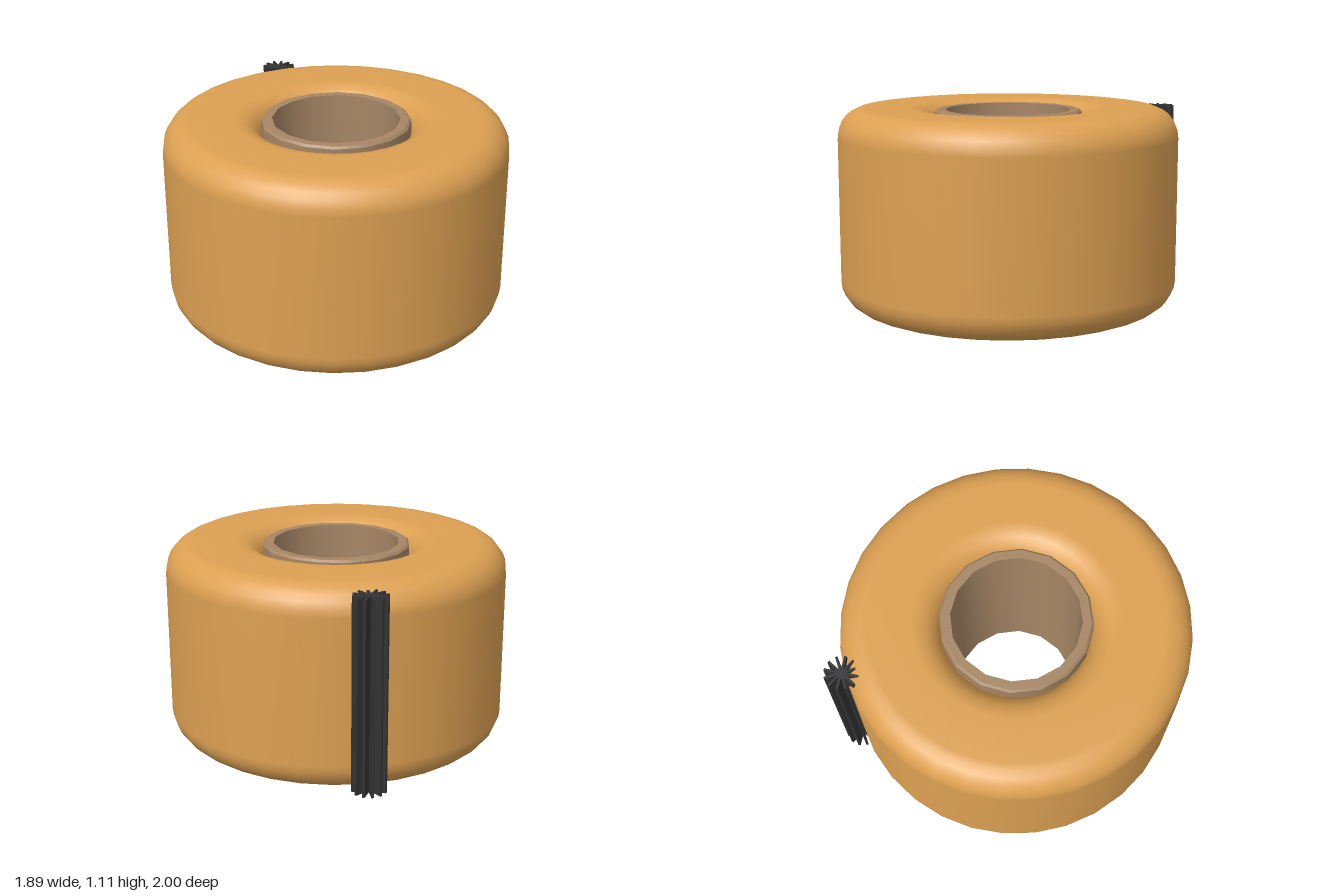
import * as THREE from 'three';
import { toCreasedNormals } from 'three/addons/utils/BufferGeometryUtils.js';

const HEIGHT = 1.11;
const ROLL_Z = 0.05;

function material(name, color) {
  const m = new THREE.MeshStandardMaterial({ color });
  m.name = name;
  return m;
}

// Quarter-circle of profile points around (cx, cy), starting at angle a
function fillet(cx, cy, r, a, steps = 6) {
  return Array.from({ length: steps + 1 }, (_, i) => {
    const t = a + (i / steps) * Math.PI / 2;
    return new THREE.Vector2(cx + r * Math.cos(t), cy + r * Math.sin(t));
  });
}

export function createModel() {
  const model = new THREE.Group();
  model.name = 'wheel';
  const amber = material('amber', 0xdca052);
  const brown = material('dull brown', 0xa68665);
  const black = material('charcoal', 0x333335);

  // Rounded roll with softened inner and outer edges
  const outer = 0.945, inner = 0.4, r = 0.155;
  const rollProfile = [
    new THREE.Vector2(inner, HEIGHT / 2),
    ...fillet(inner + r, r, r, Math.PI),
    ...fillet(outer - r, r, r, -Math.PI / 2),
    ...fillet(outer - r, HEIGHT - r, r, 0),
    ...fillet(inner + r, HEIGHT - r, r, Math.PI / 2),
    new THREE.Vector2(inner, HEIGHT / 2),
  ];
  const roll = new THREE.Mesh(new THREE.LatheGeometry(rollProfile, 32), amber);
  roll.name = 'roll';
  roll.position.z = ROLL_Z;
  model.add(roll);

  // Hollow core with a small chamfer on its outer rims
  const lo = 0.015, hi = HEIGHT - 0.015, c = 0.012;
  const coreProfile = [
    [0.35, lo], [0.41 - c, lo], [0.41, lo + c],
    [0.41, hi - c], [0.41 - c, hi], [0.35, hi], [0.35, lo],
  ].map(([x, y]) => new THREE.Vector2(x, y));
  const core = new THREE.Mesh(
    toCreasedNormals(new THREE.LatheGeometry(coreProfile, 16), 0.6), brown);
  core.name = 'core';
  core.position.z = ROLL_Z;
  model.add(core);

  // Star-shaped rod at the back: thin crossed blades
  const rod = new THREE.Group();
  rod.name = 'finnedRod';
  rod.position.set(0, HEIGHT / 2, -0.907);
  const bladeGeometry = new THREE.BoxGeometry(0.186, 1.05, 0.013);
  for (let i = 0; i < 6; i++) {
    const blade = new THREE.Mesh(bladeGeometry, black);
    blade.name = 'rodBlade';
    blade.rotation.y = (i * Math.PI) / 6;
    rod.add(blade);
  }
  model.add(rod);

  return model;
}
